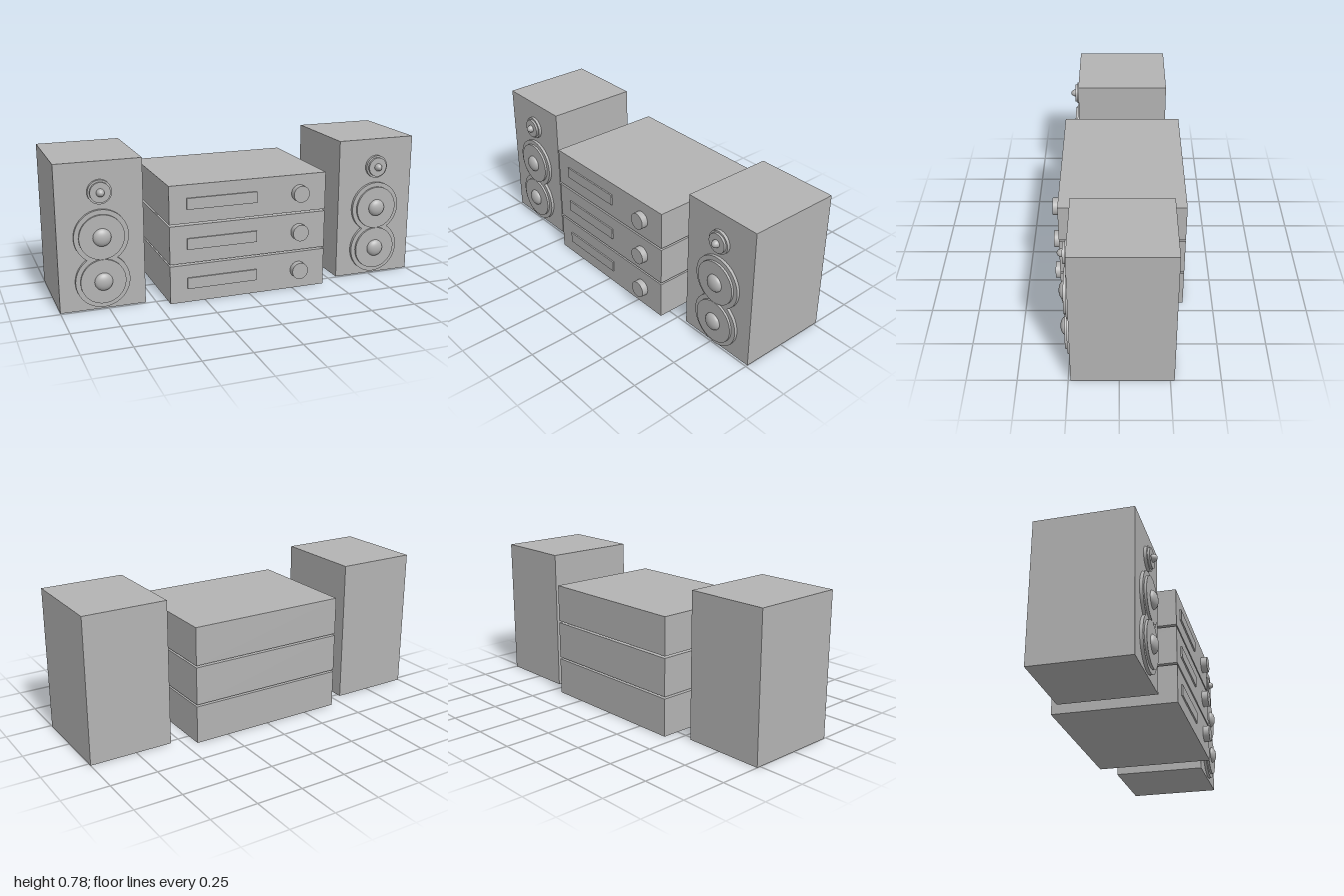
import * as THREE from 'three';

const grey = new THREE.MeshStandardMaterial({ color: 0xb3b3b3 });
grey.name = 'matte grey';

function add(parent, name, geometry, x, y, z) {
  const mesh = new THREE.Mesh(geometry, grey);
  mesh.name = name;
  mesh.position.set(x, y, z);
  parent.add(mesh);
  return mesh;
}

// Round plate facing +z, its back at z
function disc(parent, name, r, depth, x, y, z) {
  const geometry = new THREE.CylinderGeometry(r, r, depth, 48).rotateX(Math.PI / 2);
  return add(parent, name, geometry, x, y, z + depth / 2);
}

// Half ellipsoid bulging towards +z
function dome(parent, name, r, depth, y, z) {
  const geometry = new THREE.SphereGeometry(r, 32, 12, 0, Math.PI * 2, 0, Math.PI / 2)
    .rotateX(Math.PI / 2).scale(1, 1, depth / r);
  return add(parent, name, geometry, 0, y, z);
}

// Figure-eight plate: two overlapping circles, half the spacing apart from the middle
function figureEight(r, half, depth) {
  const a = Math.asin(half / r);
  const shape = new THREE.Shape();
  shape.absarc(0, half, r, -a, Math.PI + a, false);
  shape.absarc(0, -half, r, Math.PI - a, Math.PI * 2 + a, false);
  shape.closePath();
  return new THREE.ExtrudeGeometry(shape, { depth, bevelEnabled: false, curveSegments: 40 });
}

function makeSpeaker(name, x) {
  const speaker = new THREE.Group();
  speaker.name = name;
  speaker.position.x = x;
  add(speaker, 'cabinet', new THREE.BoxGeometry(0.447, 0.776, 0.51), 0, 0.388, -0.016);

  // Woofer pair with a joined surround
  const middle = 0.272, half = 0.1175;
  add(speaker, 'wooferSurround', figureEight(0.141, half, 0.016), 0, middle, 0.239);
  for (const side of [-1, 1]) {
    const y = middle + side * half;
    disc(speaker, 'wooferCone', 0.1172, 0.012, 0, y, 0.255);
    dome(speaker, 'wooferDome', 0.047, 0.027, y, 0.267);
  }

  // Tweeter
  disc(speaker, 'tweeterSurround', 0.0625, 0.016, 0, 0.621, 0.239);
  disc(speaker, 'tweeterCone', 0.0525, 0.012, 0, 0.621, 0.255);
  dome(speaker, 'tweeterDome', 0.021, 0.027, 0.621, 0.267);
  return speaker;
}

function makeUnit(index) {
  const unit = new THREE.Group();
  unit.name = 'stereoUnit' + (index + 1);
  unit.position.y = 0.102 + index * 0.2147;
  add(unit, 'case', new THREE.BoxGeometry(0.874, 0.204, 0.653), -0.002, 0, -0.0155);
  add(unit, 'displayPanel', new THREE.BoxGeometry(0.385, 0.06, 0.008), -0.153, 0.002, 0.315);
  disc(unit, 'knob', 0.045, 0.035, 0.282, 0.001, 0.311);
  return unit;
}

export function createModel() {
  const model = new THREE.Group();
  model.name = 'stereoSystem';
  model.add(makeSpeaker('rightSpeaker', -0.7765), makeSpeaker('leftSpeaker', 0.7765));
  for (let i = 0; i < 3; i++) model.add(makeUnit(i));
  return model;
}
